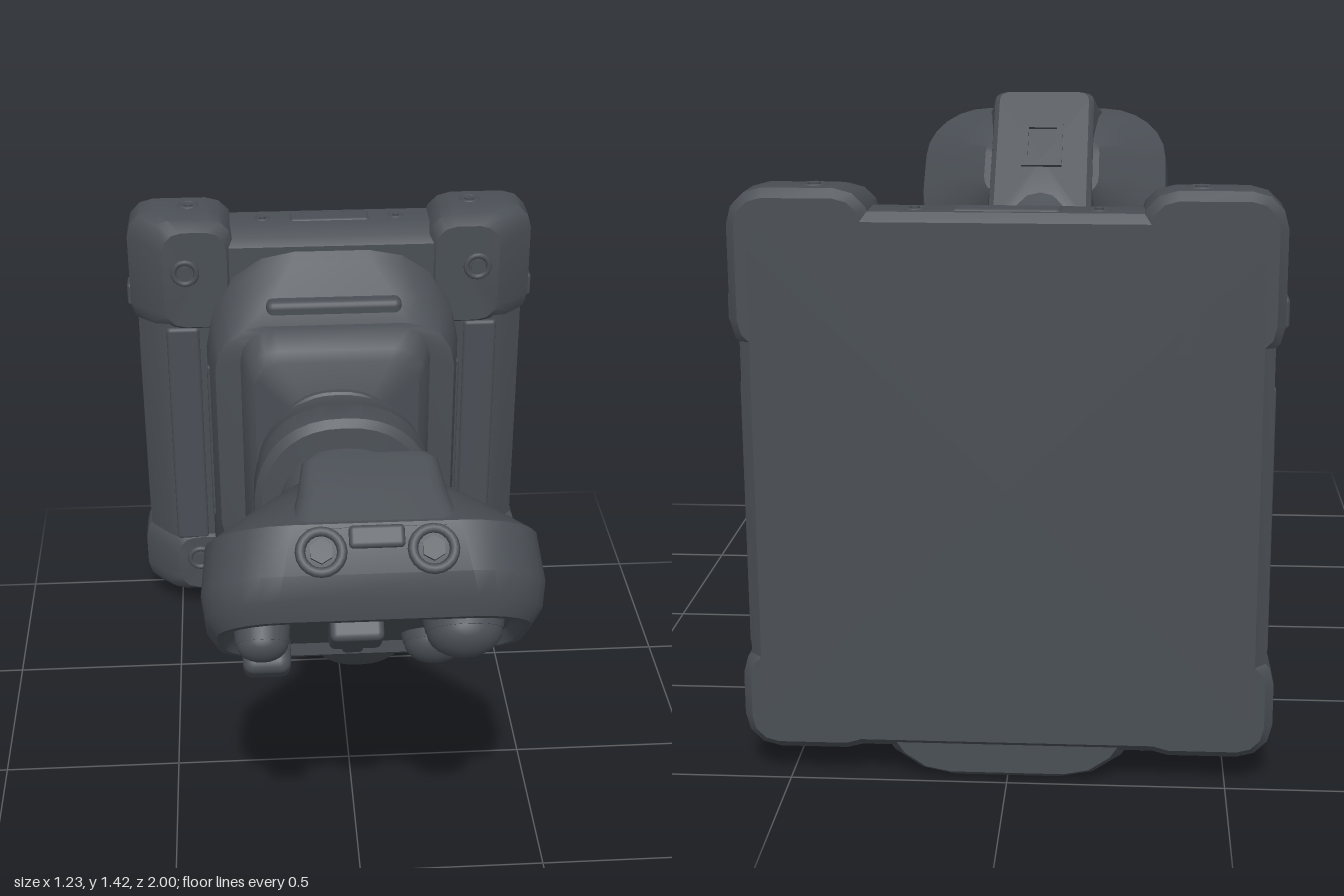
import * as THREE from 'three';
import { toCreasedNormals } from 'three/addons/utils/BufferGeometryUtils.js';
import { RoundedBoxGeometry } from 'three/addons/geometries/RoundedBoxGeometry.js';

const material = new THREE.MeshStandardMaterial({ color: 0x4a4f55, side: THREE.DoubleSide });

function add(parent, name, geometry, x = 0, y = 0, z = 0) {
  const mesh = new THREE.Mesh(geometry, material);
  mesh.name = name;
  mesh.position.set(x, y, z);
  parent.add(mesh);
  return mesh;
}

// Skin through rings of equal length, closed at both ends
function loft(rings, crease = 0.6) {
  const n = rings[0].length, pos = [], index = [];
  rings.forEach(r => r.forEach(p => pos.push(p.x, p.y, p.z)));
  for (let i = 0; i < rings.length - 1; i++) {
    for (let j = 0; j < n; j++) {
      const a = i * n + j, b = i * n + (j + 1) % n;
      index.push(a, b, b + n, a, b + n, a + n);
    }
  }
  [0, rings.length - 1].forEach((r, end) => {
    const c = new THREE.Vector3();
    rings[r].forEach(p => c.addScaledVector(p, 1 / n));
    const center = pos.length / 3;
    pos.push(c.x, c.y, c.z);
    for (let j = 0; j < n; j++) {
      const a = r * n + j, b = r * n + (j + 1) % n;
      if (end) index.push(center, a, b); else index.push(center, b, a);
    }
  });
  const g = new THREE.BufferGeometry();
  g.setAttribute('position', new THREE.Float32BufferAttribute(pos, 3));
  g.setIndex(index);
  return toCreasedNormals(g, crease);
}

// Rounded rectangle at depth z
function rectRing([z, x0, x1, y0, y1, c], steps = 4) {
  const ring = [];
  const corners = [[x1 - c, y1 - c], [x0 + c, y1 - c], [x0 + c, y0 + c], [x1 - c, y0 + c]];
  corners.forEach(([cx, cy], k) => {
    for (let i = 0; i <= steps; i++) {
      const t = (k + i / steps) * Math.PI / 2;
      ring.push(new THREE.Vector3(cx + c * Math.cos(t), cy + c * Math.sin(t), z));
    }
  });
  return ring;
}
const block = (sections, steps) => loft(sections.map(s => rectRing(s, steps)));
// Same, symmetric in x: [z, halfWidth, y0, y1, corner]
const symBlock = (sections, steps) => block(sections.map(([z, h, a, b, c]) => [z, -h, h, a, b, c]), steps);

// Slightly squared ellipse, tilted up by angle
function ovalRing([z, y, angle, rx, ry], power = 0.85) {
  const ring = [], f = v => Math.sign(v) * Math.abs(v) ** power;
  for (let i = 0; i < 40; i++) {
    const t = i / 40 * Math.PI * 2, h = ry * f(Math.sin(t));
    ring.push(new THREE.Vector3(rx * f(Math.cos(t)), y + h * Math.cos(angle), z - h * Math.sin(angle)));
  }
  return ring;
}

// Round screw with a raised rim, pointing along +z
function screw(parent, x, y, z, r) {
  const g = new THREE.Group();
  g.name = 'screw';
  g.position.set(x, y, z);
  add(g, 'screwRim', new THREE.TorusGeometry(r, r * 0.25, 8, 20));
  add(g, 'screwHead', new THREE.CylinderGeometry(r * 0.6, r * 0.6, 0.016, 6)).rotation.x = Math.PI / 2;
  parent.add(g);
  return g;
}

function buildMount() {
  const mount = new THREE.Group();
  mount.name = 'wallMount';
  add(mount, 'backPlate', symBlock([
    [-1, 0.56, 0.1, 1.3, 0.06], [-0.98, 0.585, 0.08, 1.32, 0.07], [-0.88, 0.585, 0.08, 1.32, 0.07],
    [-0.82, 0.53, 0.11, 1.3, 0.06], [-0.795, 0.49, 0.13, 1.28, 0.05]]));
  // Stepped housing rising from the plate to the arm joint
  add(mount, 'housing', symBlock([
    [-0.99, 0.28, 0.02, 1.25, 0.15], [-0.96, 0.32, 0, 1.3, 0.2], [-0.83, 0.35, 0, 1.3, 0.25],
    [-0.77, 0.38, 0.05, 1.24, 0.26], [-0.7, 0.37, 0.18, 1.16, 0.19], [-0.635, 0.355, 0.3, 1.1, 0.14],
    [-0.615, 0.28, 0.35, 1.1, 0.1], [-0.55, 0.26, 0.37, 1.06, 0.09], [-0.53, 0.24, 0.41, 1.03, 0.08]]));
  add(mount, 'topHandle', new RoundedBoxGeometry(0.24, 0.04, 0.07, 2, 0.012), 0, 1.305, -0.93);
  add(mount, 'topLip', new RoundedBoxGeometry(0.4, 0.06, 0.06, 2, 0.02), 0, 1.13, -0.69);
  add(mount, 'bottomStep', new RoundedBoxGeometry(0.32, 0.13, 0.05, 2, 0.015), 0, 0.245, -0.695).rotation.x = 0.5;
  for (const s of [-1, 1]) {
    add(mount, 'indicator', new THREE.SphereGeometry(0.022, 14, 10), s * 0.024, 0.285, -0.64);
    // Corner guards, upper taller than lower
    for (const [y0, y1] of [[1.0, 1.37], [0.07, 0.33]]) {
      const span = (z, inner, outer, d, r) =>
        [z, Math.min(s * inner, s * outer), Math.max(s * inner, s * outer), y0 + d, y1 - d, r];
      add(mount, 'cornerGuard', block([
        span(-1, 0.31, 0.585, 0.02, 0.06), span(-0.98, 0.29, 0.605, 0, 0.08), span(-0.88, 0.29, 0.605, 0, 0.08),
        span(-0.82, 0.29, 0.55, 0.01, 0.07), span(-0.785, 0.31, 0.5, 0.035, 0.06)], 3));
    }
    screw(mount, s * 0.435, 1.21, -0.782, 0.034);
    screw(mount, s * 0.43, 0.22, -0.782, 0.034);
    screw(mount, s * 0.42, 1.367, -0.92, 0.026).rotation.x = -Math.PI / 2;
    screw(mount, s * 0.2, 1.318, -0.93, 0.02).rotation.x = -Math.PI / 2;
    screw(mount, s * 0.21, 0.12, -0.745, 0.024).rotation.x = 0.5;
    add(mount, 'sideLatch', new RoundedBoxGeometry(0.03, 0.07, 0.07, 2, 0.01), s * 0.6, 1.1, -0.92);
    add(mount, 'sideRail', new RoundedBoxGeometry(0.02, 0.62, 0.05, 2, 0.008), s * 0.58, 0.63, -0.95);
    add(mount, 'frontPanel', new RoundedBoxGeometry(0.1, 0.74, 0.03, 2, 0.012), s * 0.45, 0.66, -0.8);
    add(mount, 'housingRib', new RoundedBoxGeometry(0.02, 0.52, 0.025, 2, 0.008), s * 0.372, 0.67, -0.74);
    add(mount, 'bottomFin', new RoundedBoxGeometry(0.07, 0.17, 0.09, 2, 0.025), s * 0.2, 0.29, -0.67).rotation.x = 0.45;
    add(mount, 'foot', new RoundedBoxGeometry(0.06, 0.06, 0.1, 2, 0.015), s * 0.315, 0.08, -0.87).rotation.z = s * 0.6;
  }
  return mount;
}

function buildArm() {
  const arm = new THREE.Group();
  arm.name = 'armAssembly';
  // Ribbed joint sleeve
  const ribs = [];
  for (const z of [-0.56, -0.5, -0.445, -0.39]) {
    ribs.push([z, 0.73, 0, 0.179, 0.204], [z + 0.006, 0.73, 0, 0.187, 0.212],
      [z + 0.046, 0.73, 0, 0.187, 0.212], [z + 0.052, 0.73, 0, 0.179, 0.204]);
  }
  add(arm, 'jointSleeve', loft(ribs.map(r => ovalRing(r))));
  add(arm, 'jointCollar', loft([
    [-0.37, 0.73, 0, 0.19, 0.215], [-0.355, 0.735, 0, 0.22, 0.26], [-0.335, 0.74, 0, 0.245, 0.28],
    [-0.27, 0.74, 0, 0.245, 0.285], [-0.255, 0.74, 0, 0.255, 0.295], [-0.17, 0.74, 0, 0.255, 0.295],
    [-0.15, 0.74, 0, 0.235, 0.275], [-0.145, 0.725, 0, 0.19, 0.23], [-0.09, 0.72, 0, 0.183, 0.222],
    [-0.085, 0.72, 0, 0.17, 0.21]].map(r => ovalRing(r))));
  add(arm, 'collarClamp', new RoundedBoxGeometry(0.24, 0.08, 0.14, 2, 0.025), 0, 0.47, -0.26);
  // Curved arm sweeping forward and up
  add(arm, 'arm', loft([
    [-0.2, 0.715, 0, 0.165, 0.21], [-0.08, 0.715, 0.03, 0.17, 0.215], [0.05, 0.73, 0.16, 0.17, 0.22],
    [0.18, 0.765, 0.32, 0.17, 0.225], [0.3, 0.82, 0.5, 0.17, 0.225], [0.42, 0.9, 0.68, 0.17, 0.21],
    [0.5, 0.955, 0.76, 0.172, 0.195], [0.55, 1.0, 0.785, 0.18, 0.18], [0.6, 1.06, 0.785, 0.18, 0.16]]
    .map(r => ovalRing(r)), 1));
  for (const s of [-1, 1]) {
    add(arm, 'armButton', new THREE.CylinderGeometry(0.026, 0.026, 0.02, 16), s * 0.162, 0.78, 0.09).rotation.z = Math.PI / 2;
    const pad = add(arm, 'sidePad', new THREE.SphereGeometry(1, 20, 14), s * 0.15, 0.9, 0.545);
    pad.scale.set(0.05, 0.08, 0.14);
    pad.rotation.x = -0.8;
  }
  return arm;
}

// Head frame: local y runs up along the face, local z out of the face
function buildHead() {
  const head = new THREE.Group();
  head.name = 'sensorHead';
  head.rotation.x = Math.PI / 4;
  add(head, 'headShell', symBlock([
    [-0.47, 0.17, 1.14, 1.39, 0.08], [-0.4, 0.26, 1.12, 1.51, 0.15], [-0.31, 0.37, 1.09, 1.61, 0.19],
    [-0.2, 0.382, 1.08, 1.605, 0.18], [-0.15, 0.375, 1.085, 1.57, 0.16], [-0.115, 0.35, 1.1, 1.53, 0.14],
    [-0.115, 0.335, 1.115, 1.51, 0.13], [-0.14, 0.315, 1.135, 1.49, 0.12]], 6));
  add(head, 'spine', symBlock([
    [-0.3, 0.19, 1.0, 1.61, 0.04], [-0.39, 0.165, 1.0, 1.57, 0.04],
    [-0.475, 0.15, 1.0, 1.535, 0.03], [-0.49, 0.135, 1.02, 1.525, 0.03]], 3));
  // Raised frame on the spine
  const outline = (w, h) => [[-w, -h], [w, -h], [w, h], [-w, h]].map(p => new THREE.Vector2(...p));
  const frame = new THREE.Shape(outline(0.06, 0.08));
  frame.holes.push(new THREE.Path(outline(0.042, 0.062).reverse()));
  add(head, 'spineFrame', new THREE.ExtrudeGeometry(frame, { depth: 0.02, bevelEnabled: false }), 0, 1.32, -0.498);
  // Front edge fittings
  for (const s of [-1, 1]) screw(head, s * 0.12, 1.608, -0.25, 0.045).rotation.x = -Math.PI / 2;
  add(head, 'edgeWindow', new RoundedBoxGeometry(0.12, 0.03, 0.05, 2, 0.01), 0, 1.605, -0.28);
  // Lenses and sensors on the face
  const lens = (x, y, r, h) => {
    add(head, 'lensBarrel', new THREE.CylinderGeometry(r * 0.92, r, h, 28), x, y, -0.15 + h / 2).rotation.x = Math.PI / 2;
    add(head, 'lensDome', new THREE.SphereGeometry(r * 0.9, 24, 14), x, y, -0.15 + h).scale.z = 0.7;
  };
  lens(-0.25, 1.37, 0.065, 0.05);
  lens(0.2, 1.39, 0.095, 0.04);
  lens(0.15, 1.215, 0.08, 0.03);
  add(head, 'lowerSensor', new RoundedBoxGeometry(0.11, 0.1, 0.1, 3, 0.025), -0.24, 1.24, -0.1);
  add(head, 'centerSensor', new RoundedBoxGeometry(0.12, 0.12, 0.08, 2, 0.015), -0.04, 1.37, -0.13);
  add(head, 'smallSensor', new RoundedBoxGeometry(0.05, 0.08, 0.05, 2, 0.01), -0.04, 1.22, -0.13);
  return head;
}

export function createModel() {
  const model = new THREE.Group();
  model.name = 'mountedSensorArm';
  model.add(buildMount(), buildArm(), buildHead());
  return model;
}
